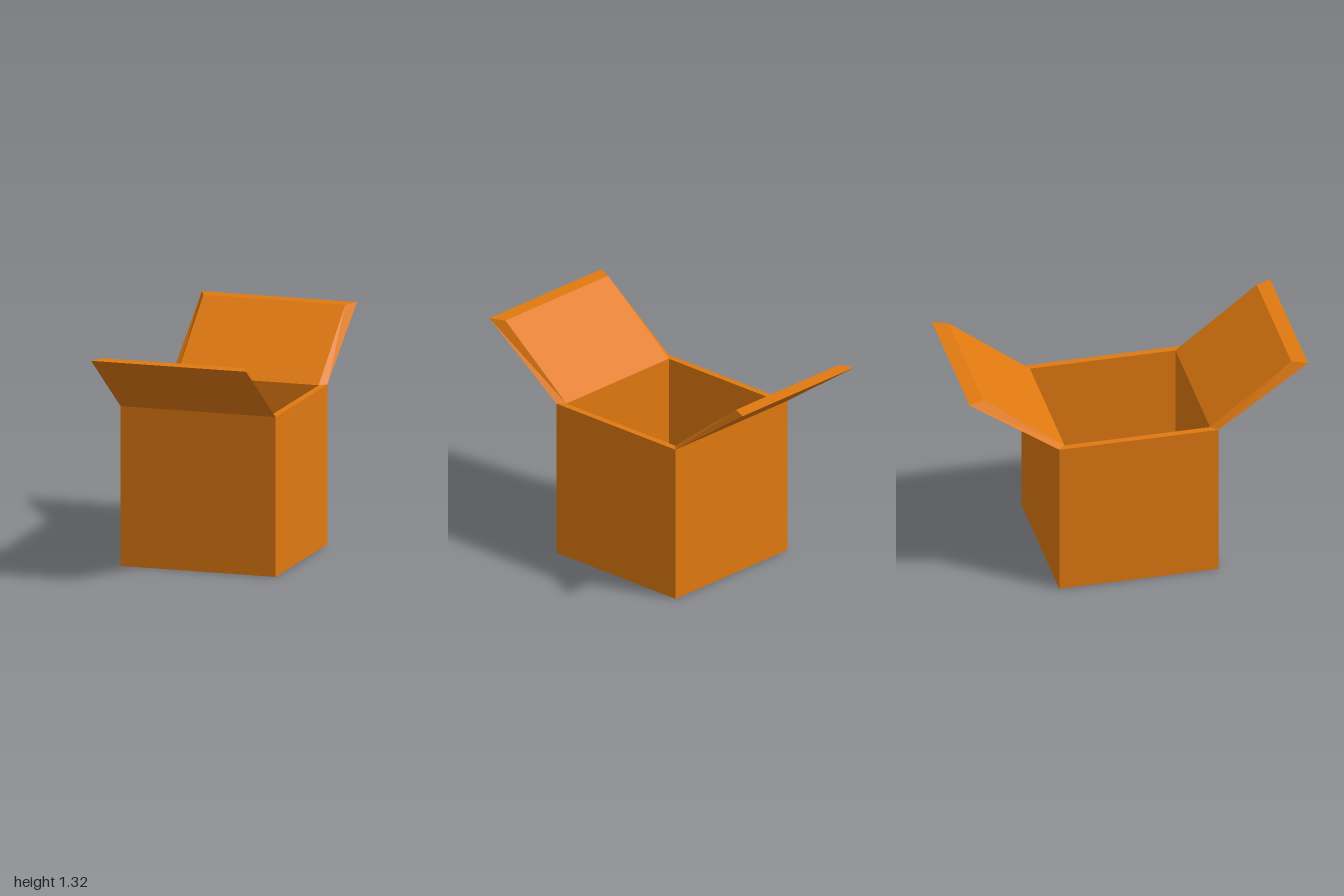
import * as THREE from 'three';

const OUT = 0.47, IN = 0.43, RIM = 0.94, FLOOR = 0.04, TIP = 1.315;

// Square ring of corners, counter-clockwise seen from above
const ring = (h, y) => [[h, y, h], [h, y, -h], [-h, y, -h], [-h, y, h]];

// Flat-sided mesh from four-cornered faces
function faceMesh(name, faces, material) {
  const points = faces.flatMap(([a, b, c, d]) => [a, b, c, a, c, d]);
  const geometry = new THREE.BufferGeometry();
  geometry.setAttribute('position', new THREE.Float32BufferAttribute(points.flat(), 3));
  geometry.computeVertexNormals();
  const mesh = new THREE.Mesh(geometry, material);
  mesh.name = name;
  return mesh;
}

// Faces joining two rings along the chosen sides
function join(a, b, sides = [0, 1, 2, 3]) {
  return sides.map((i) => {
    const j = (i + 1) % 4;
    return [a[i], a[j], b[j], b[i]];
  });
}

// Flap corners: hinge, tip, tip, hinge
const flapRing = (x, hingeZ, tipZ) => [
  [x, RIM, hingeZ], [x, TIP, tipZ], [-x, TIP, tipZ], [-x, RIM, hingeZ],
];

export function createModel() {
  const model = new THREE.Group();
  model.name = 'openBox';
  const cardboard = new THREE.MeshStandardMaterial({ color: 0xe07910 });
  cardboard.name = 'orange cardboard';

  // Hollow body; the front and back rims are covered by the flap hinges
  const base = ring(OUT, 0), top = ring(OUT, RIM);
  const mouth = ring(IN, RIM), floor = ring(IN, FLOOR);
  model.add(faceMesh('body', [
    [...base].reverse(),
    ...join(base, top),
    ...join(top, mouth, [0, 2]),
    ...join(mouth, floor),
    floor,
  ], cardboard));

  // Open flaps with bevelled edges, the back one turned half round
  const outer = flapRing(OUT, OUT, 1), inner = flapRing(IN, IN, 0.91);
  const flapFaces = [
    outer,
    [...inner].reverse(),
    ...join(outer, inner, [0, 1, 2]).map((face) => face.reverse()),
  ];
  const frontFlap = faceMesh('frontFlap', flapFaces, cardboard);
  const backFlap = frontFlap.clone();
  backFlap.name = 'backFlap';
  backFlap.rotation.y = Math.PI;
  model.add(frontFlap, backFlap);

  return model;
}
